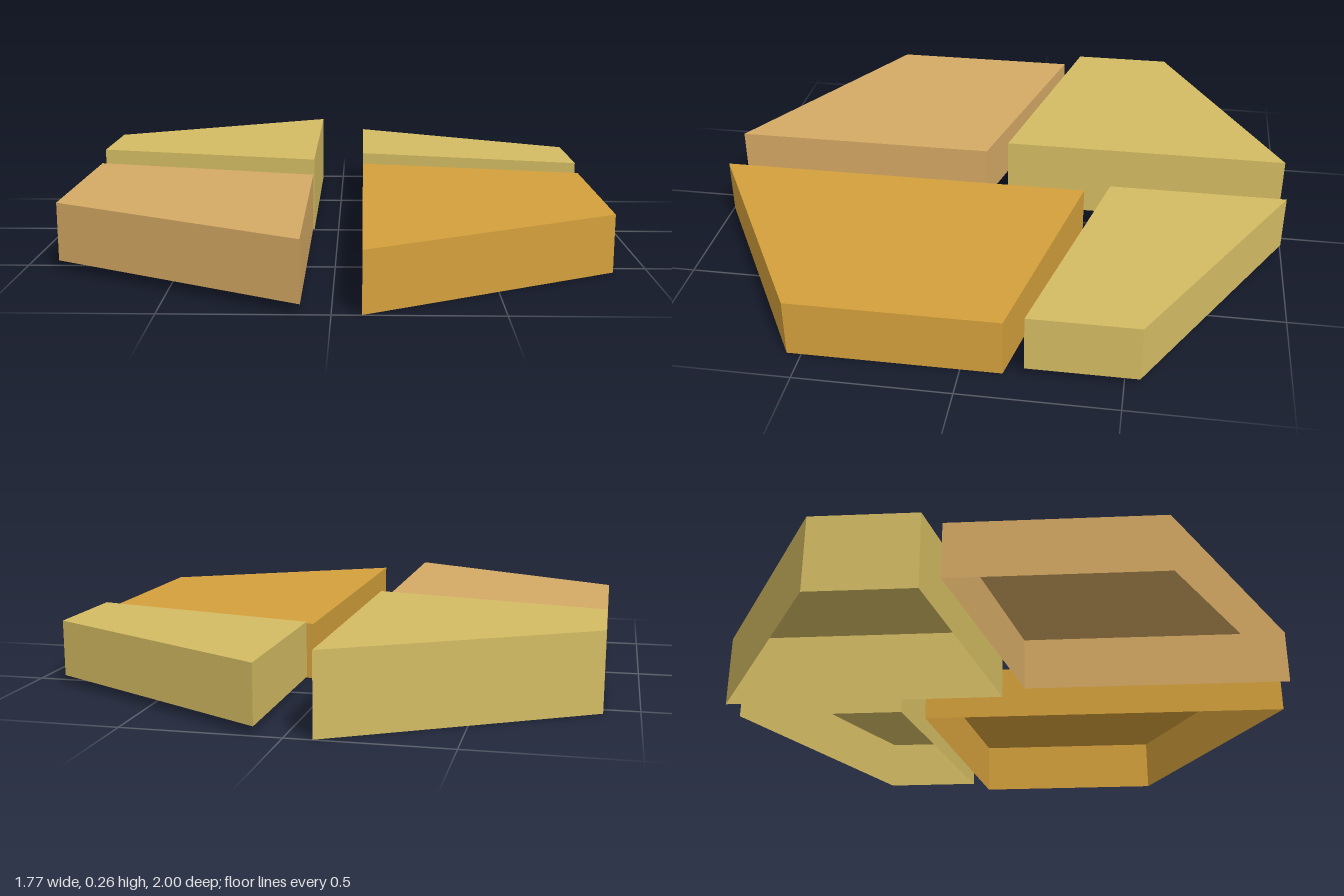
import * as THREE from 'three';

const makeMaterial = (name, color) =>
  new THREE.MeshStandardMaterial({ name, color, side: THREE.DoubleSide });

// Open-bottomed block: a flat top and one wall per edge.
// The outline holds [x, z] corners, clockwise as seen from above.
function hollowBlock(name, material, outline, bottom, top) {
  const positions = [];
  const at = ([x, z], y) => [x, y, z];
  const quad = (a, b, c, d) => positions.push(...a, ...b, ...c, ...a, ...c, ...d);

  const [p0, p1, p2, p3] = outline.map((p) => at(p, top));
  quad(p0, p3, p2, p1);
  outline.forEach((a, i) => {
    const b = outline[(i + 1) % outline.length];
    quad(at(a, bottom), at(a, top), at(b, top), at(b, bottom));
  });

  const geometry = new THREE.BufferGeometry();
  geometry.setAttribute('position', new THREE.Float32BufferAttribute(positions, 3));
  geometry.computeVertexNormals();
  const mesh = new THREE.Mesh(geometry, material);
  mesh.name = name;
  return mesh;
}

export function createModel() {
  const model = new THREE.Group();
  model.name = 'splitHexagon';

  const khaki = makeMaterial('khaki', 0xd4bc63);
  const amber = makeMaterial('amber', 0xd4a03c);
  const tan = makeMaterial('tan', 0xd4a964);

  // Shared hexagon limits
  const inner = 0.088, outer = 0.887, tip = 0.998, side = 0.547;

  model.add(
    hollowBlock('backRightBlock', khaki,
      [[-outer, -side], [-inner, -tip], [-inner, -0.007], [-outer, -0.197]], 0, 0.26),
    hollowBlock('backLeftBlock', khaki,
      [[inner, -tip], [outer, -side], [outer, -0.197], [inner, -0.393]], 0.028, 0.215),
    hollowBlock('frontLeftBlock', amber,
      [[inner, -0.303], [outer, -0.132], [outer, side], [inner, tip]], 0, 0.19),
    hollowBlock('frontRightBlock', tan,
      [[-outer, -0.132], [-inner, 0.072], [-inner, tip], [-outer, side]], 0.03, 0.22),
  );
  return model;
}
